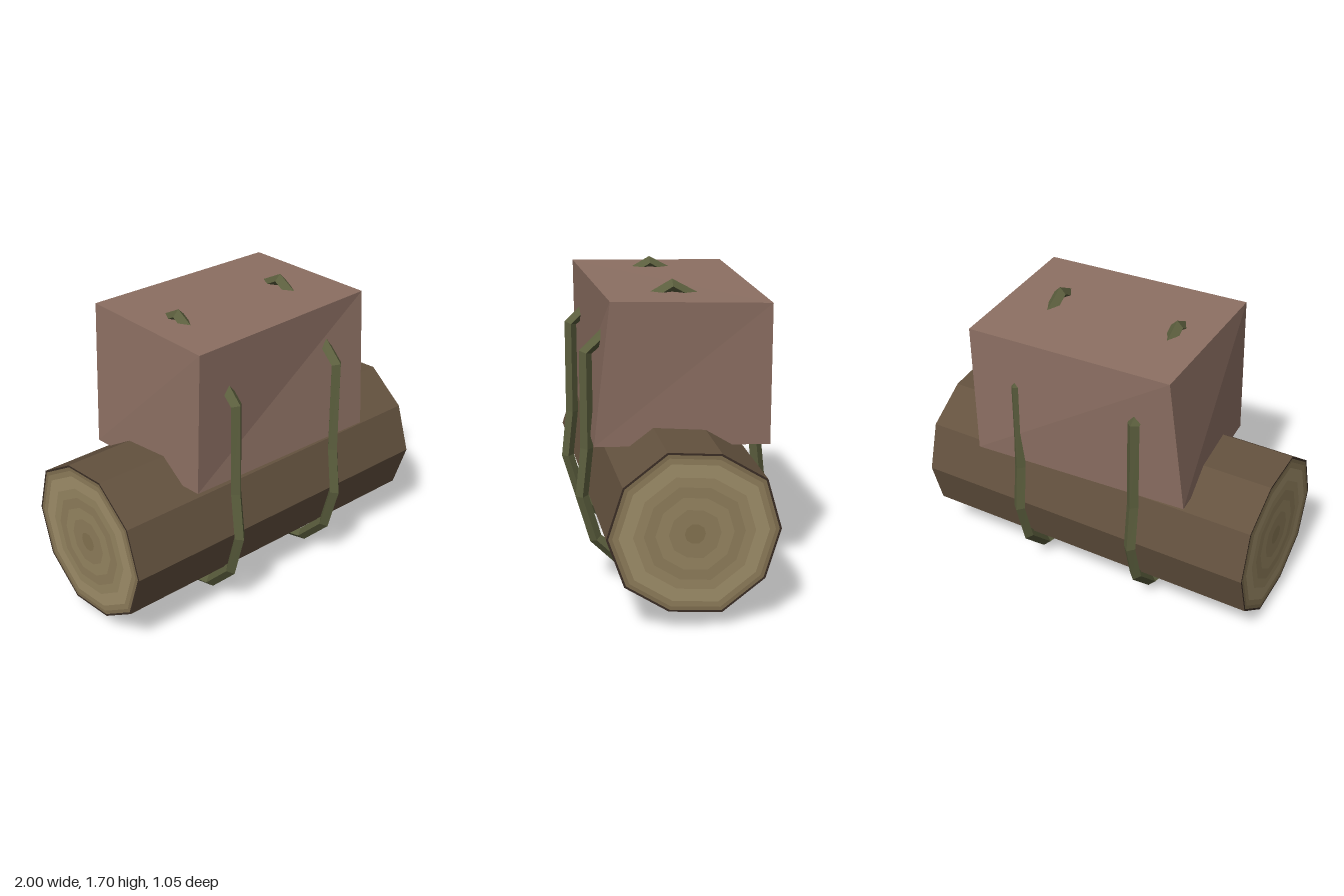
import * as THREE from 'three';

const flat = (color) => new THREE.MeshStandardMaterial({ color, flatShading: true });
const V = (x, y, z) => new THREE.Vector3(x, y, z);

// Skin consecutive closed rings of equal point count with quads.
function loft(rings) {
  const pts = [];
  for (let i = 0; i < rings.length - 1; i++) {
    const a = rings[i], b = rings[i + 1], n = a.length;
    for (let j = 0; j < n; j++) {
      const k = (j + 1) % n;
      pts.push(a[j], b[j], a[k], b[j], b[k], a[k]);
    }
  }
  const geo = new THREE.BufferGeometry().setFromPoints(pts);
  geo.computeVertexNormals();
  return geo;
}

function add(parent, name, geo, mat) {
  const mesh = new THREE.Mesh(geo, mat);
  mesh.name = name;
  parent.add(mesh);
  return mesh;
}

// Slightly uneven ten-sided log section
const LOG_Y = 0.53;
const logRadii = [0.45, 0.45, 0.457, 0.433, 0.455, 0.445, 0.452, 0.46, 0.433, 0.446];
const logRing = (x, s) => logRadii.map((r, i) => {
  const t = (i / logRadii.length) * Math.PI * 2;
  return V(x, LOG_Y + Math.sin(t) * r * s, Math.cos(t) * r * s);
});

function makeLog() {
  const log = new THREE.Group();
  log.name = 'log';
  add(log, 'bark', loft([logRing(-1, 1.012), logRing(1, 1)]), flat(0x64523f));
  // Growth rings on both cut ends: outer scale and colour of each band
  const bands = [[0.12, 0x857452], [0.3, 0x8f7e5b], [0.45, 0x978662], [0.58, 0x8f7e5b],
    [0.7, 0x978662], [0.86, 0xa08f6a], [0.93, 0x8f7e5b], [0.975, 0x806f50], [1, 0x3c2f26]];
  for (const side of [-1, 1]) {
    let inner = 0;
    for (const [outer, color] of bands) {
      const scale = side < 0 ? 1.012 : 1;
      const rings = [logRing(side, inner * scale), logRing(side, outer * scale)];
      if (side > 0) rings.reverse();
      add(log, 'growthRing', loft(rings), flat(color));
      inner = outer;
    }
  }
  return log;
}

// Crooked crate: a box with its eight corners nudged
function makeCrate() {
  const corners = {
    '-1,-1,-1': [-0.625, 0.84, -0.4], '1,-1,-1': [0.61, 0.85, -0.48],
    '-1,-1,1': [-0.572, 0.857, 0.41], '1,-1,1': [0.58, 0.875, 0.45],
    '-1,1,-1': [-0.555, 1.632, -0.46], '1,1,-1': [0.623, 1.607, -0.475],
    '-1,1,1': [-0.555, 1.655, 0.418], '1,1,1': [0.623, 1.643, 0.365],
  };
  const geo = new THREE.BoxGeometry(2, 2, 2);
  const p = geo.attributes.position;
  for (let i = 0; i < p.count; i++) {
    p.setXYZ(i, ...corners[[p.getX(i), p.getY(i), p.getZ(i)].join()]);
  }
  geo.computeVertexNormals();
  return geo;
}

// Strap: diamond section swept round a closed loop, with one quarter twist
function makeStrap() {
  const half = [[0, 0.037], [0.245, 0.103], [0.42, 0.28], [0.491, 0.53],
    [0.461, 0.8], [0.46, 1.325], [0.25, 1.52], [0, 1.663]];
  const other = half.slice(1, -1).reverse().map(([z, y]) => [-z, y]);
  const path = [...half, ...other];
  const n = path.length, start = n - 3; // seam on the back, level with the log axis
  const rings = [];
  for (let s = 0; s <= n; s++) {
    const i = (start + s) % n;
    const [z, y] = path[i], [z0, y0] = path[(i + n - 1) % n], [z1, y1] = path[(i + 1) % n];
    const dir = new THREE.Vector2(z1 - z0, y1 - y0).normalize();
    const out = V(0, -dir.x, dir.y);
    const twist = i >= 4 && i < start ? Math.PI / 2 : 0;
    rings.push([0, 1, 2, 3].map((k) => {
      const a = (k * Math.PI) / 2 + twist;
      return V(-Math.sin(a) * 0.035, y, z).addScaledVector(out, Math.cos(a) * 0.035);
    }));
  }
  // Undo the quarter turn by relabelling the ring where the back section begins
  for (let s = 0; s <= n; s++) {
    const i = (start + s) % n;
    if (s > 0 && (s === n || i >= start)) {
      const r = rings[s];
      rings[s] = [r[1], r[2], r[3], r[0]];
    }
  }
  return loft(rings.map((r, s) => (s > 0 && s < 3 ? [r[3], r[0], r[1], r[2]] : r)));
}

export function createModel() {
  const model = new THREE.Group();
  model.name = 'strappedCrateOnLog';
  model.add(makeLog());
  add(model, 'crate', makeCrate(), flat(0x8d7063));
  const strapGeo = makeStrap(), strapMat = flat(0x5c5f3e);
  for (const x of [-0.355, 0.355]) {
    add(model, x < 0 ? 'rightStrap' : 'leftStrap', strapGeo, strapMat).position.x = x;
  }
  return model;
}
